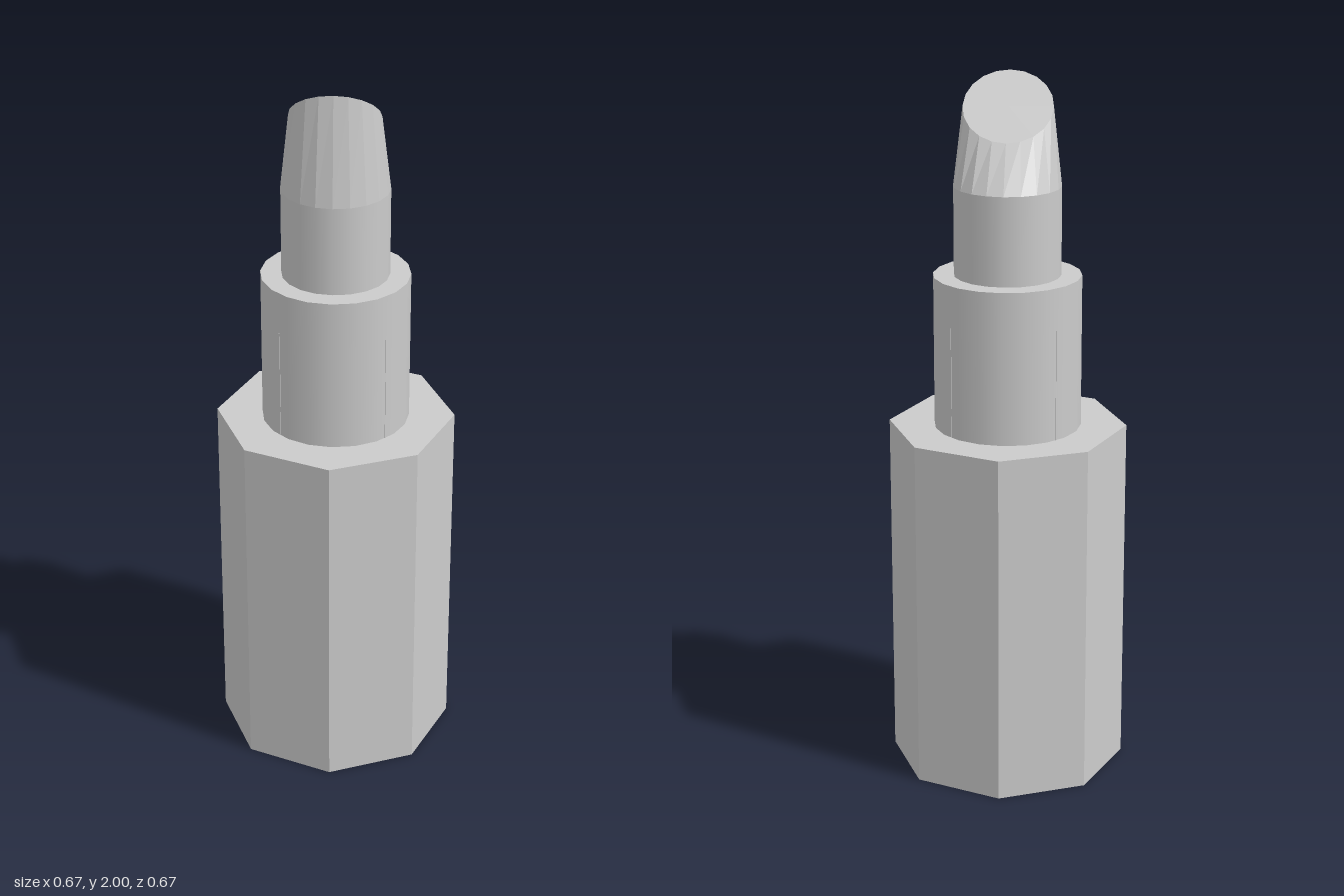
import * as THREE from 'three';

const smooth = new THREE.MeshStandardMaterial({ color: 0xcccccc });
const faceted = new THREE.MeshStandardMaterial({ color: 0xcccccc, flatShading: true });

// Upright cylinder between two heights
function column(name, radius, y0, y1, sides, material) {
  const geometry = new THREE.CylinderGeometry(radius, radius, y1 - y0, sides);
  geometry.translate(0, (y0 + y1) / 2, 0);
  const mesh = new THREE.Mesh(geometry, material);
  mesh.name = name;
  return mesh;
}

export function createModel() {
  const model = new THREE.Group();
  model.name = 'lipstick';

  // Octagonal case, stepped sleeve and the straight part of the stick
  model.add(column('case', 0.337, 0, 1.015, 8, faceted));
  model.add(column('sleeve', 0.208, 1.015, 1.45, 20, smooth));
  model.add(column('stick', 0.15, 1.45, 1.7, 20, smooth));

  // Hairline ribs on the sleeve's four diagonals
  for (let i = 0; i < 4; i++) {
    const geometry = new THREE.BoxGeometry(0.003, 0.315, 0.01);
    geometry.translate(0, 1.1725, 0.202);
    const rib = new THREE.Mesh(geometry, smooth);
    rib.name = 'sleeveRib';
    rib.rotation.y = Math.PI / 4 + (i * Math.PI) / 2;
    model.add(rib);
  }

  // Tapered tip: the upper ring is squeezed and tilted into a slanted oval
  const tip = column('slantedTip', 0.15, 1.7, 2, 20, faceted);
  const p = tip.geometry.attributes.position;
  for (let i = 0; i < p.count; i++) {
    if (p.getY(i) < 1.9) continue;
    const s = p.getX(i) / 0.15;
    const c = p.getZ(i) / 0.15;
    p.setXYZ(i, 0.125 * s, 1.914 + 0.086 * c, 0.024 + 0.085 * c);
  }
  tip.geometry.computeVertexNormals();
  model.add(tip);

  return model;
}
